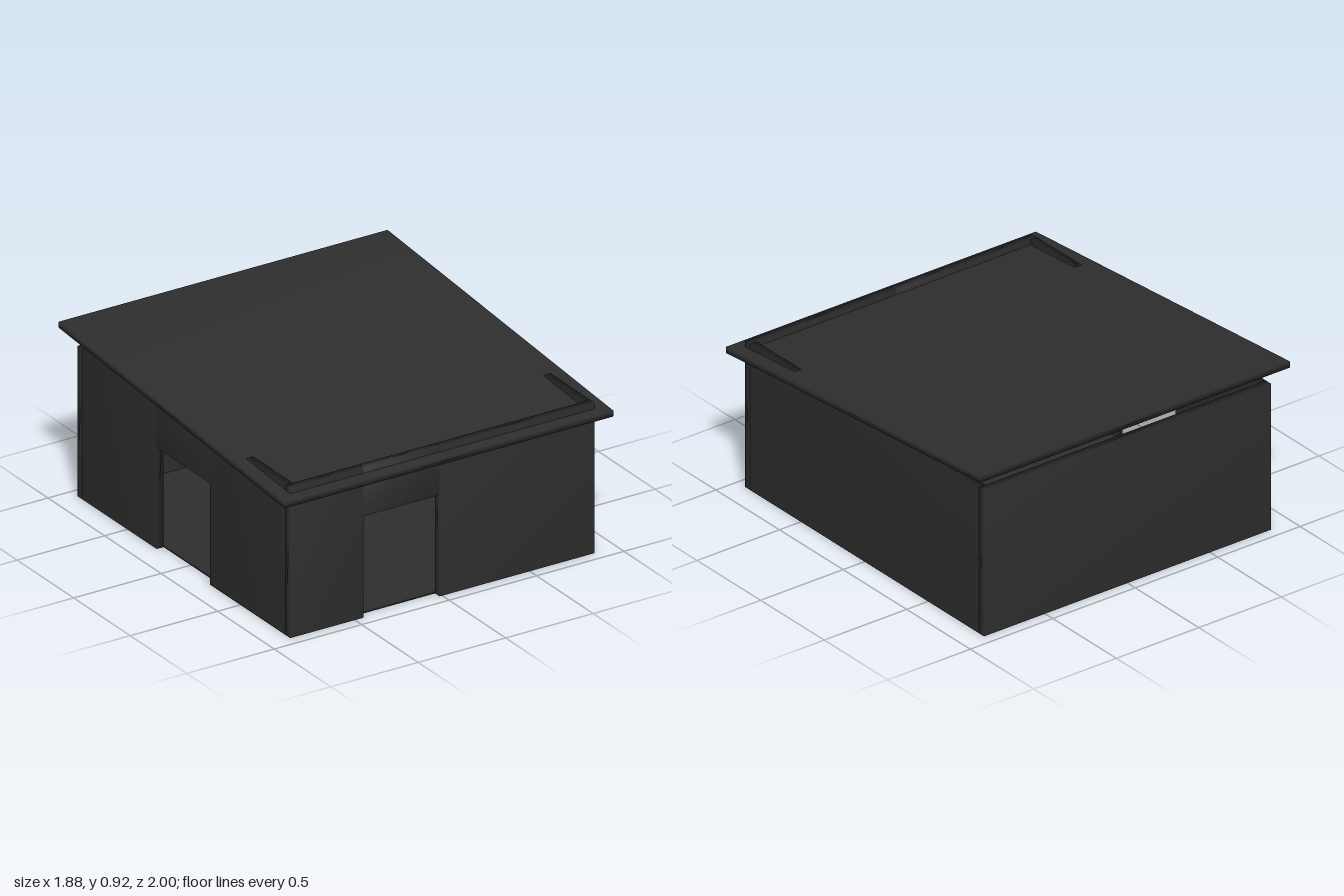
import * as THREE from 'three';
import { mergeVertices } from 'three/addons/utils/BufferGeometryUtils.js';

const HALF_W = 0.87, HALF_D = 0.94, WALL_H = 0.8, WALL_T = 0.04, DOOR_H = 0.54;

export function createModel() {
  const group = new THREE.Group();
  const charcoal = new THREE.MeshStandardMaterial({ color: 0x2e2e2e });
  charcoal.name = 'charcoal';

  // Box between two corners, with normals smoothed over its edges
  function panel(name, [x0, x1], [y0, y1], [z0, z1]) {
    let geo = new THREE.BoxGeometry(x1 - x0, y1 - y0, z1 - z0);
    geo.deleteAttribute('normal');
    geo.deleteAttribute('uv');
    geo = mergeVertices(geo);
    geo.computeVertexNormals();
    const mesh = new THREE.Mesh(geo, charcoal);
    mesh.name = name;
    mesh.position.set((x0 + x1) / 2, (y0 + y1) / 2, (z0 + z1) / 2);
    group.add(mesh);
    return mesh;
  }

  const full = [0, WALL_H], lintel = [DOOR_H, WALL_H];
  const inX = HALF_W - WALL_T, inZ = HALF_D - WALL_T;

  // Floor slab between the walls
  panel('floor', [-inX, inX], [0, 0.015], [-inZ, inZ]);

  // Back wall and the closed side wall
  panel('backWall', [-HALF_W, HALF_W], full, [-HALF_D, -inZ]);
  panel('leftWall', [inX, HALF_W], full, [-inZ, inZ]);

  // Front wall with a doorway
  const front = [inZ, HALF_D];
  panel('frontWallRight', [-HALF_W, -0.45], full, front);
  panel('frontLintel', [-0.45, -0.015], lintel, front);
  panel('frontWallLeft', [-0.015, HALF_W], full, front);

  // Side wall with a doorway
  const side = [-HALF_W, -inX];
  panel('rightWallBack', side, full, [-inZ, -0.24]);
  panel('rightLintel', side, lintel, [-0.24, 0.23]);
  panel('rightWallFront', side, full, [0.23, inZ]);

  // Flat roof tilted down to the front, cut by the front wall tops
  const roof = panel('roof', [-0.94, 0.94], [0.812, 0.844], [-1.002, 1.002]);
  roof.rotation.x = Math.atan2(0.16, 2);

  return group;
}
